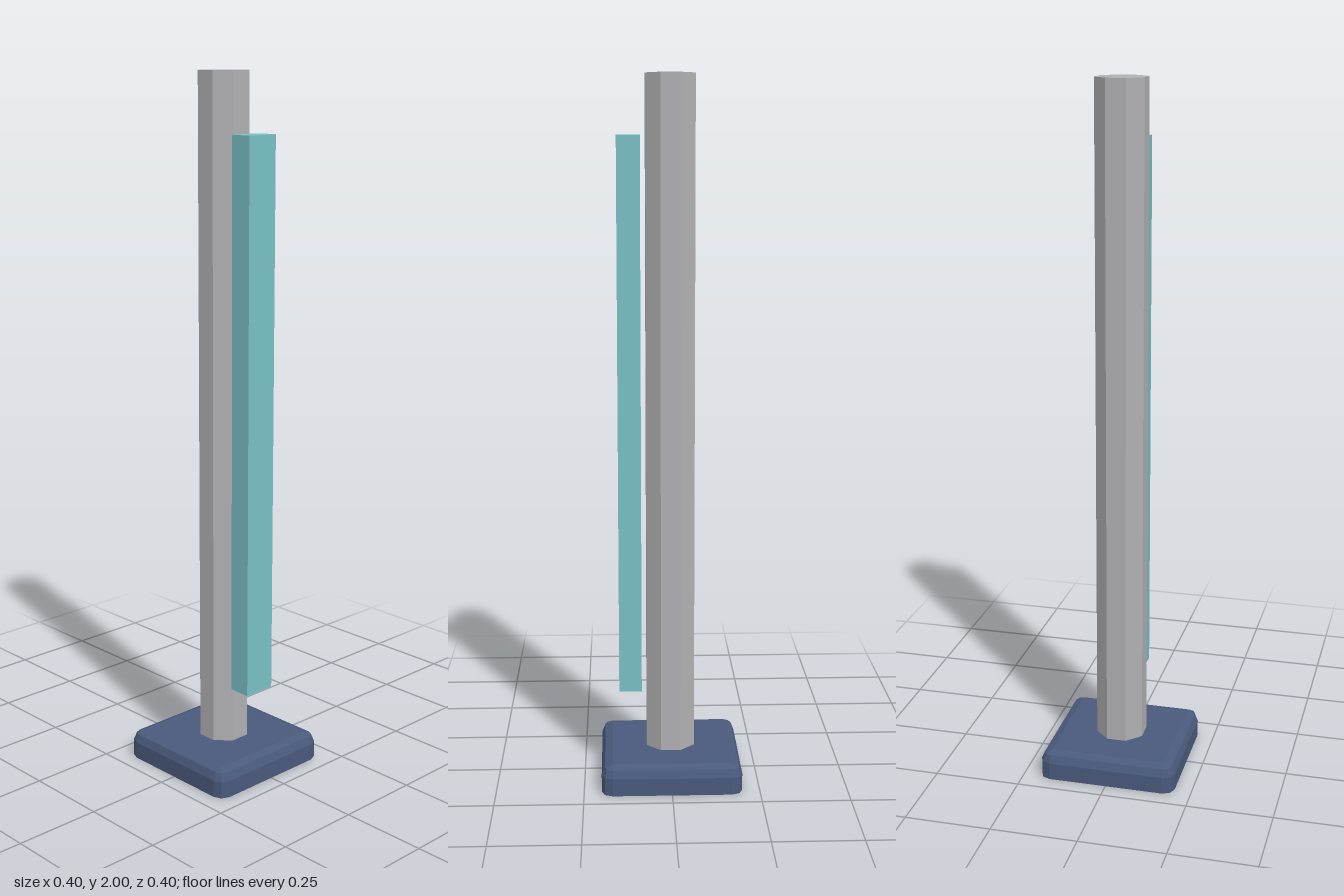
import * as THREE from 'three';

const paint = (name, color) => {
  const material = new THREE.MeshStandardMaterial({ color });
  material.name = name;
  return material;
};

// Separate the faces so that every facet shades flat
function faceted(geometry) {
  const flat = geometry.index ? geometry.toNonIndexed() : geometry;
  flat.computeVertexNormals();
  return flat;
}

// Square slab with flat bottom and two-step rounded corners and top edge
function slabGeometry(half, height, radius) {
  const core = half - radius;
  const h = Math.SQRT1_2;
  const levels = [
    [0, radius],
    [height - radius, radius],
    [height - radius + radius * h, radius * h],
    [height, 0],
  ];
  const rings = levels.map(([y, r]) => {
    const ring = [];
    for (let corner = 0; corner < 4; corner++) {
      const mid = (corner + 0.5) * Math.PI / 2;
      const cx = Math.sign(Math.cos(mid)) * core;
      const cz = Math.sign(Math.sin(mid)) * core;
      for (let step = 0; step < 3; step++) {
        const a = mid + (step - 1) * Math.PI / 4;
        ring.push([cx + r * Math.cos(a), y, cz + r * Math.sin(a)]);
      }
    }
    return ring;
  });

  const points = [];
  const count = rings[0].length;
  const top = rings[rings.length - 1];
  for (let i = 0; i < count; i++) {
    const j = (i + 1) % count;
    for (let k = 0; k + 1 < rings.length; k++) {
      const [a, b, c, d] = [rings[k][i], rings[k][j], rings[k + 1][j], rings[k + 1][i]];
      points.push(...a, ...c, ...b, ...a, ...d, ...c);
    }
    points.push(0, 0, 0, ...rings[0][i], ...rings[0][j]);
    points.push(0, height, 0, ...top[j], ...top[i]);
  }
  const geometry = new THREE.BufferGeometry();
  geometry.setAttribute('position', new THREE.Float32BufferAttribute(points, 3));
  return geometry;
}

export function createModel() {
  const model = new THREE.Group();
  model.name = 'signPost';

  const navy = paint('navy base', 0x4a5a7c);
  const grey = paint('grey metal', 0xb0b0b2);
  const teal = paint('teal panel', 0x78c0c4);

  const add = (name, geometry, material, x, y) => {
    const mesh = new THREE.Mesh(faceted(geometry), material);
    mesh.name = name;
    mesh.position.set(x, y, 0);
    model.add(mesh);
  };

  // Base plate
  add('base', slabGeometry(0.2, 0.082, 0.032), navy, 0, 0);

  // Eight-sided pole with flat sides facing the axes
  const bottom = 0.04;
  const pole = new THREE.CylinderGeometry(0.0745, 0.0745, 2 - bottom, 8).rotateY(Math.PI / 8);
  add('pole', pole, grey, 0, (2 + bottom) / 2);

  // Upright panel floating beside the pole
  add('panel', new THREE.BoxGeometry(0.065, 1.58, 0.098), teal, 0.116, 1.045);

  return model;
}
